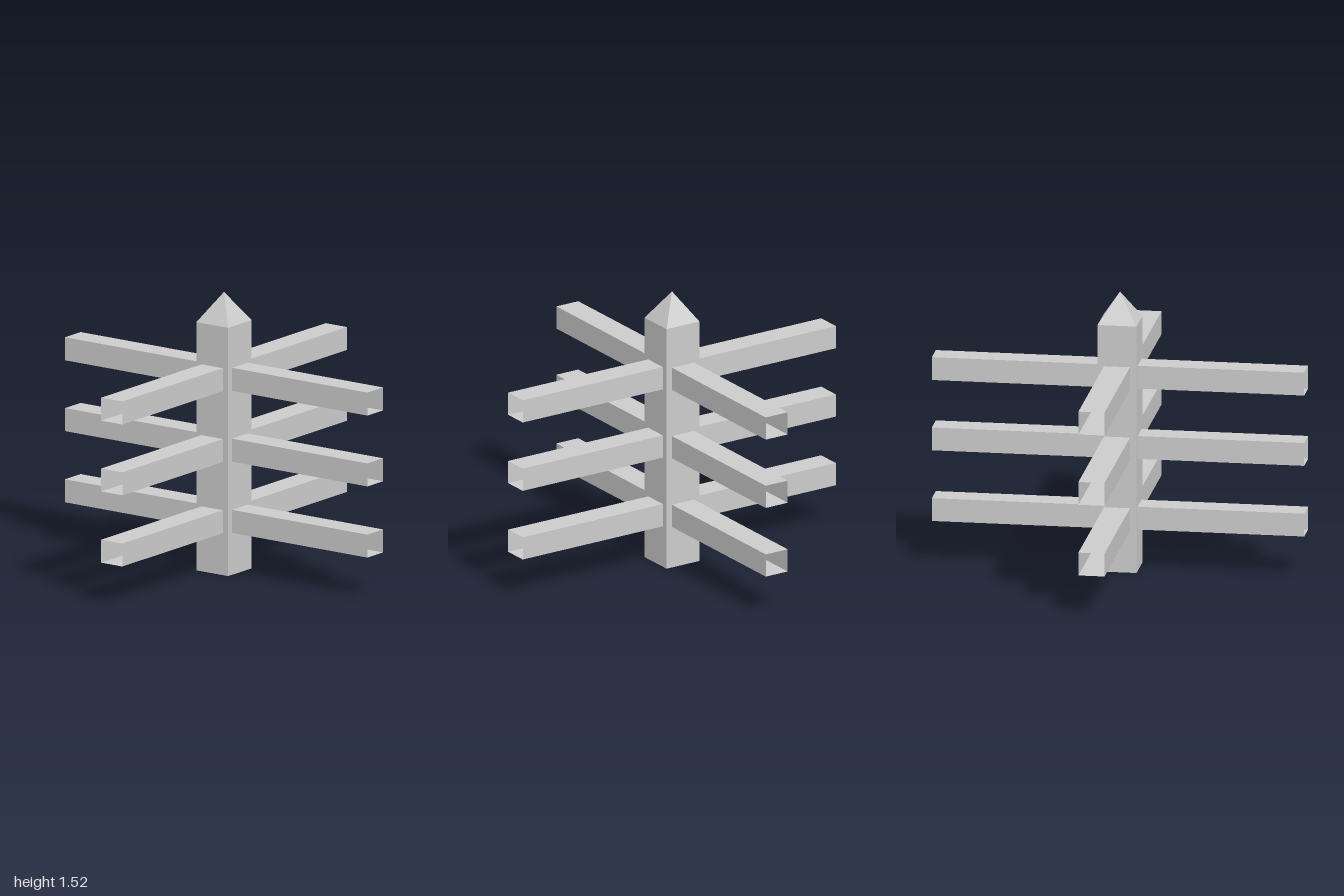
import * as THREE from 'three';

const POST = 0.105;      // half width of the post
const POST_TOP = 1.36;
const APEX = 1.52;
const RAIL_W = 0.07;     // half width of a rail
const RAIL_H = 0.063;    // half height of a rail
const RAIL_LEVELS = [0.293, 0.683, 1.071];

export function createModel() {
  const model = new THREE.Group();
  model.name = 'fencePost';
  const material = new THREE.MeshStandardMaterial({
    color: 0xcccccc, flatShading: true, side: THREE.DoubleSide,
  });

  const add = (geometry, name, parent) => {
    const mesh = new THREE.Mesh(geometry, material);
    mesh.name = name;
    parent.add(mesh);
    return mesh;
  };
  const rectangle = (path, w, y0, y1) => {
    path.moveTo(-w, y0);
    path.lineTo(w, y0);
    path.lineTo(w, y1);
    path.lineTo(-w, y1);
    path.closePath();
    return path;
  };

  // Post wall, open where the hollow rails run into it
  const wall = rectangle(new THREE.Shape(), POST, 0, POST_TOP);
  for (const y of RAIL_LEVELS) {
    wall.holes.push(rectangle(new THREE.Path(), RAIL_W, y - RAIL_H, y + RAIL_H));
  }
  const wallGeometry = new THREE.ShapeGeometry(wall).translate(0, 0, POST);

  // Rail: a rectangular tube with open ends, from the post face out along +z
  const length = 1 - POST;
  const railGeometry = new THREE.CylinderGeometry(Math.SQRT2, Math.SQRT2, length, 4, 1, true)
    .rotateY(Math.PI / 4)
    .rotateX(Math.PI / 2)
    .scale(RAIL_W, RAIL_H, 1)
    .translate(0, 0, POST + length / 2);

  // The same wall and three rails on each of the four sides
  ['front', 'left', 'back', 'right'].forEach((side, i) => {
    const group = new THREE.Group();
    group.name = side + 'Side';
    group.rotation.y = i * Math.PI / 2;
    add(wallGeometry, 'postWall', group);
    for (const y of RAIL_LEVELS) add(railGeometry, 'rail', group).position.y = y;
    model.add(group);
  });

  // Closed foot and pyramid cap of the post
  add(new THREE.PlaneGeometry(2 * POST, 2 * POST).rotateX(Math.PI / 2), 'postBase', model);
  const cap = new THREE.ConeGeometry(POST * Math.SQRT2, APEX - POST_TOP, 4, 1, true)
    .rotateY(Math.PI / 4)
    .translate(0, (APEX + POST_TOP) / 2, 0);
  add(cap, 'postCap', model);

  return model;
}
